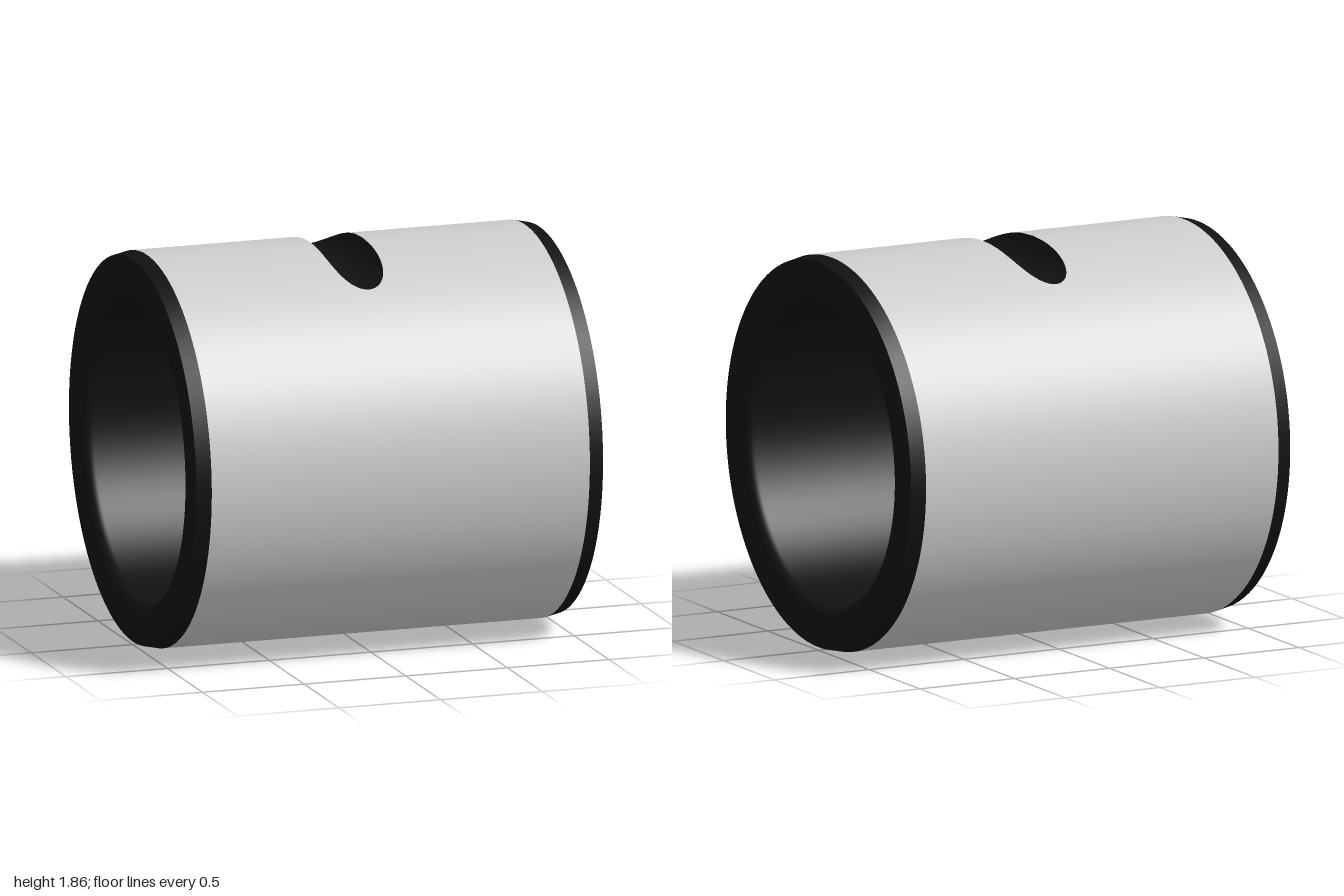
import * as THREE from 'three';
import { toCreasedNormals } from 'three/addons/utils/BufferGeometryUtils.js';

const R = 0.93;        // outer radius, also the height of the axis
const BORE = 0.715;    // inner radius
const NOTCH = 0.13;    // radius of the groove cut across the top
const EDGE = 0.93;     // x where the end chamfers start

// Surface through a grid of points; row and step give [point, normal]
function gridSurface(rows, steps, at) {
  const positions = [], normals = [], index = [];
  for (let i = 0; i < rows; i++) {
    for (let j = 0; j <= steps; j++) {
      const [p, n] = at(i, j / steps);
      positions.push(...p);
      normals.push(...n);
      if (i < rows - 1 && j < steps) {
        const a = i * (steps + 1) + j, b = a + steps + 1;
        index.push(a, a + 1, b, a + 1, b + 1, b);
      }
    }
  }
  const geometry = new THREE.BufferGeometry();
  geometry.setAttribute('position', new THREE.Float32BufferAttribute(positions, 3));
  geometry.setAttribute('normal', new THREE.Float32BufferAttribute(normals, 3));
  geometry.setIndex(index);
  return geometry;
}

export function createModel() {
  const group = new THREE.Group();
  const grey = new THREE.MeshStandardMaterial({ color: 0xcccccc });
  const black = new THREE.MeshStandardMaterial({ color: 0x111111 });
  const add = (name, geometry, material) => {
    const mesh = new THREE.Mesh(geometry, material);
    mesh.name = name;
    group.add(mesh);
  };

  // Cross-section of the groove: x, floor height, and angle where it meets the outside
  const groove = [];
  for (let i = 0; i <= 64; i++) {
    const a = Math.PI * i / 64;
    const drop = NOTCH * Math.sin(a);
    groove.push({ x: -NOTCH * Math.cos(a), y: 2 * R - drop, start: Math.acos(Math.min(1, (R - drop) / R)) });
  }

  // Outer wall, each column opening up where the groove cuts it
  const columns = [{ x: -EDGE, start: 0 }, ...groove, { x: EDGE, start: 0 }];
  add('outerWall', gridSurface(columns.length, 160, (i, t) => {
    const { x, start } = columns[i];
    const phi = start + t * 2 * (Math.PI - start);
    const c = Math.cos(phi), s = Math.sin(phi);
    return [[x, R + R * c, R * s], [0, c, s]];
  }), grey);

  // Round-bottomed groove running front to back
  add('topGroove', gridSurface(groove.length, 24, (i, t) => {
    const { x, y, start } = groove[i];
    const z = R * Math.sin(start) * (2 * t - 1);
    return [[x, y, z], [-x / NOTCH, (2 * R - y) / NOTCH, 0]];
  }), black);

  // Chamfers, end faces, rounded inner lips and bore in one turned profile
  const lip = 0.05;
  const half = [[R, EDGE], [0.915, 1]];
  for (let i = 0; i <= 8; i++) {
    const a = Math.PI / 2 * i / 8;
    half.push([BORE + lip - lip * Math.sin(a), 1 - lip + lip * Math.cos(a)]);
  }
  const profile = [...half, ...half.map(([r, x]) => [r, -x]).reverse()]
    .map(([r, x]) => new THREE.Vector2(r, x));
  const sleeve = toCreasedNormals(new THREE.LatheGeometry(profile, 160), 0.4);
  sleeve.rotateZ(-Math.PI / 2).translate(0, R, 0);
  add('boreAndEnds', sleeve, black);

  return group;
}
